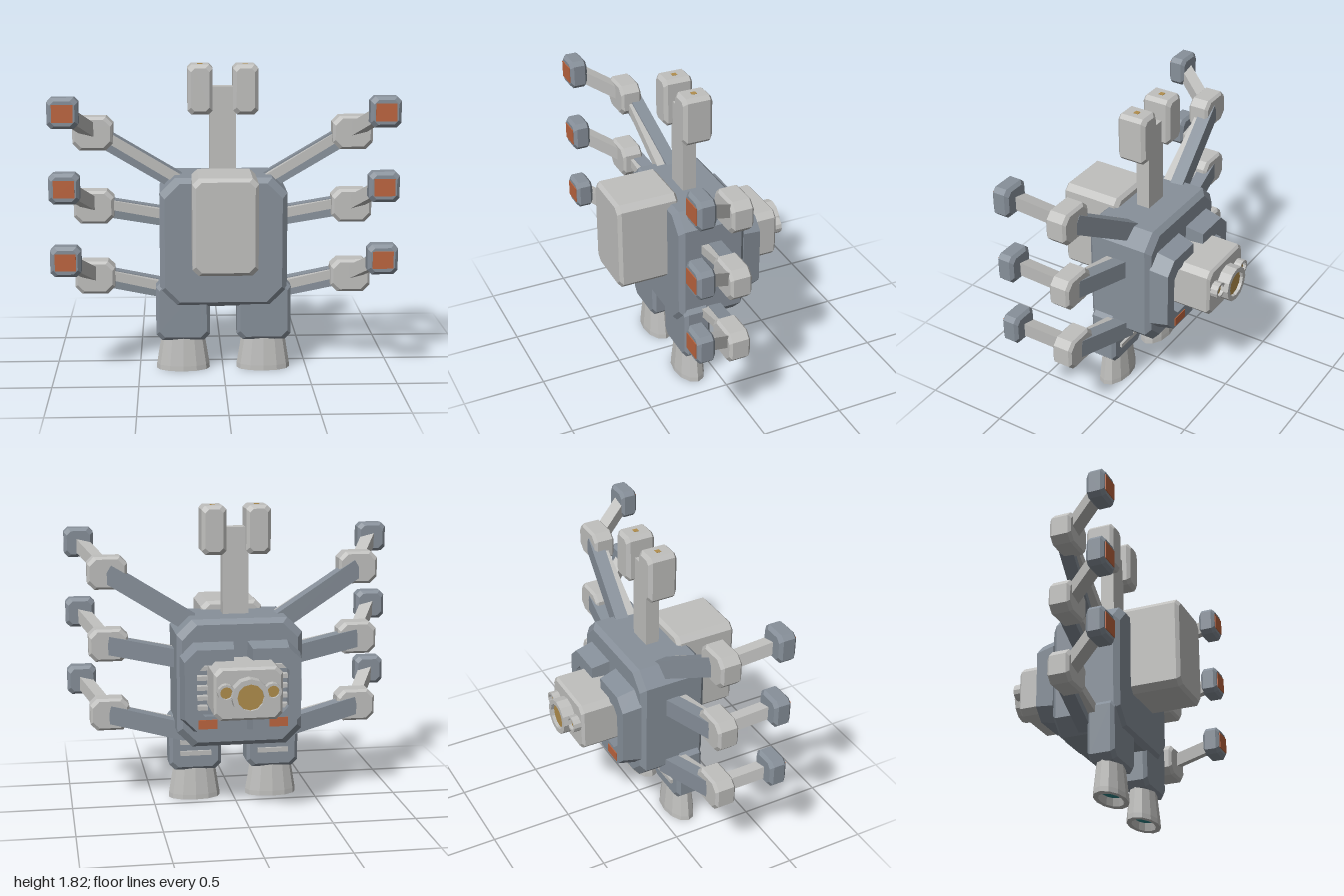
import * as THREE from 'three';
import { ConvexGeometry } from 'three/addons/geometries/ConvexGeometry.js';

const mat = (name, color, extra = {}) => {
  const m = new THREE.MeshStandardMaterial({ color, ...extra });
  m.name = name;
  return m;
};

export function createModel() {
  const root = new THREE.Group();
  root.name = 'robot';
  const blue = mat('blue grey', 0x87909a);
  const light = mat('light grey', 0xc0c0be);
  const orange = mat('orange', 0xbc653f);
  const amber = mat('amber', 0xb08d4c);
  const teal = mat('teal', 0x2f8488);

  const add = (name, geo, material, x = 0, y = 0, z = 0) => {
    const m = new THREE.Mesh(geo, material);
    m.name = name;
    m.position.set(x, y, z);
    root.add(m);
    return m;
  };

  // Box with cut corners in x-y and bevelled front and back faces
  const chamferBox = (w, h, d, cut, bevel) => {
    const pts = [];
    for (const [inset, z] of [[0, d / 2 - bevel], [bevel, d / 2]]) {
      const a = w / 2 - inset, b = h / 2 - inset;
      for (const sx of [-1, 1]) for (const sy of [-1, 1]) for (const sz of [-1, 1]) {
        pts.push(new THREE.Vector3(sx * a, sy * (b - cut), sz * z));
        pts.push(new THREE.Vector3(sx * (a - cut), sy * b, sz * z));
      }
    }
    return new ConvexGeometry(pts);
  };

  // Square bar between two points
  const beam = (name, a, b, w, h, material) => {
    const from = new THREE.Vector3(...a), to = new THREE.Vector3(...b);
    const mid = from.clone().add(to).multiplyScalar(0.5);
    const m = add(name, new THREE.BoxGeometry(w, h, from.distanceTo(to)), material, mid.x, mid.y, mid.z);
    m.lookAt(to);
    return m;
  };

  // Open tube facing backwards with a recessed lens
  const lens = (name, x, y, zFront, zBack, r) => {
    const len = zFront - zBack;
    const profile = [[r, 0], [r, len], [r * 0.72, len], [r * 0.72, len - 0.025]].map(p => new THREE.Vector2(...p));
    const ring = new THREE.LatheGeometry(profile, 12).toNonIndexed();
    ring.computeVertexNormals();
    ring.rotateX(-Math.PI / 2);
    add(name + 'Ring', ring, lightOpen, x, y, zFront);
    const glass = add(name + 'Glass', new THREE.CircleGeometry(r * 0.73, 12), amber, x, y, zBack + 0.02);
    glass.rotation.y = Math.PI;
  };
  const lightOpen = mat('light grey', 0xc0c0be, { side: THREE.DoubleSide });

  // Torso and chest block
  add('torso', chamferBox(0.75, 0.77, 0.42, 0.09, 0.03), blue, 0, 0.785, 0.035);
  add('chestBlock', chamferBox(0.375, 0.56, 0.38, 0.035, 0.02), light, 0, 0.94, 0.355);

  // Neck and twin head blocks
  add('neck', new THREE.BoxGeometry(0.155, 0.56, 0.085), light, 0, 1.41, 0.05);

  // Back camera
  add('cameraHousing', chamferBox(0.4, 0.31, 0.31, 0.035, 0.015), light, 0, 0.79, -0.32);
  lens('mainLens', 0, 0.787, -0.46, -0.55, 0.108);

  for (const s of [-1, 1]) {
    add('headBlock', chamferBox(0.147, 0.29, 0.18, 0.022, 0.02), light, s * 0.133, 1.675, 0.05);
    add('headLight', new THREE.BoxGeometry(0.03, 0.004, 0.03), amber, s * 0.133, 1.82, 0.05);
    lens('sideLens', s * 0.135, 0.81, -0.46, -0.52, 0.05);

    // Legs, rear vents and hollow feet
    add('leg', chamferBox(0.32, 0.36, 0.165, 0.035, 0.02), blue, s * 0.24, 0.37, 0.143);
    for (const y of [0.3, 0.37])
      add('legVent', new THREE.BoxGeometry(0.19, 0.028, 0.03), light, s * 0.24, y, 0.06);
    const footProfile = [[0, 0.2], [0.13, 0.2], [0.158, 0.03], [0.16, 0], [0.115, 0], [0.1, 0.05]]
      .map(p => new THREE.Vector2(...p)).reverse();
    const footGeo = new THREE.LatheGeometry(footProfile, 12).toNonIndexed();
    footGeo.scale(1, 1, 0.55);
    footGeo.computeVertexNormals();
    add('foot', footGeo, lightOpen, s * 0.24, 0, 0.143);
    const sole = add('footGlow', new THREE.CircleGeometry(0.103, 12), teal, s * 0.24, 0.045, 0.143);
    sole.rotation.x = Math.PI / 2;
    sole.scale.y = 0.55;

    // C-shaped back bracket, tapering away from the torso
    const outline = [[0.04, 1.04], [0.28, 1.04], [0.36, 0.96], [0.36, 0.58], [0.28, 0.5], [0.04, 0.5],
      [0.04, 0.6], [0.23, 0.6], [0.28, 0.65], [0.28, 0.89], [0.23, 0.94], [0.04, 0.94]];
    const shape = new THREE.Shape(outline.map(([x, y]) => new THREE.Vector2(s * x, y)));
    const bracket = new THREE.ExtrudeGeometry(shape, { depth: 0.115, bevelEnabled: false });
    bracket.translate(0, 0, -0.285);
    const p = bracket.attributes.position;
    for (let i = 0; i < p.count; i++) {
      if (p.getZ(i) > -0.2) continue;
      p.setX(i, s * 0.2 + (p.getX(i) - s * 0.2) * 0.9);
      p.setY(i, 0.77 + (p.getY(i) - 0.77) * 0.9);
    }
    bracket.computeVertexNormals();
    add('backBracket', bracket, blue);
    add('backMarker', new THREE.BoxGeometry(0.11, 0.055, 0.009), orange, s * 0.21, 0.57, -0.286);
    for (let i = 0; i < 5; i++)
      add('backRib', new THREE.BoxGeometry(0.08, 0.025, 0.05), light, s * 0.24, 0.65 + i * 0.06, -0.195);

    // Three jointed arms: shoulder height, elbow height, hand height
    for (const [shoulderY, elbowY, handY, shoulderX] of [
      [1.11, 1.425, 1.575, 0.25], [0.9, 0.99, 1.145, 0.3], [0.455, 0.565, 0.72, 0.3]]) {
      const elbow = [s * 0.76, elbowY, 0.105];
      const hand = [s * 0.912, handY, 0.372];
      beam('upperArm', [s * shoulderX, shoulderY, 0.015], [s * 0.76, elbowY, 0.08], 0.08, 0.11, blue);
      beam('upperArmRod', [s * shoulderX, shoulderY + 0.025, 0.085], [s * 0.76, elbowY + 0.025, 0.105], 0.05, 0.055, light);
      add('elbow', chamferBox(0.235, 0.195, 0.13, 0.04, 0.015), light, ...elbow);
      beam('forearm', elbow, hand, 0.075, 0.075, light);
      add('hand', chamferBox(0.176, 0.176, 0.106, 0.025, 0.018), blue, ...hand);
      add('handPanel', new THREE.BoxGeometry(0.12, 0.1, 0.008), orange, s * 0.912, handY, 0.426);
    }
  }
  return root;
}
